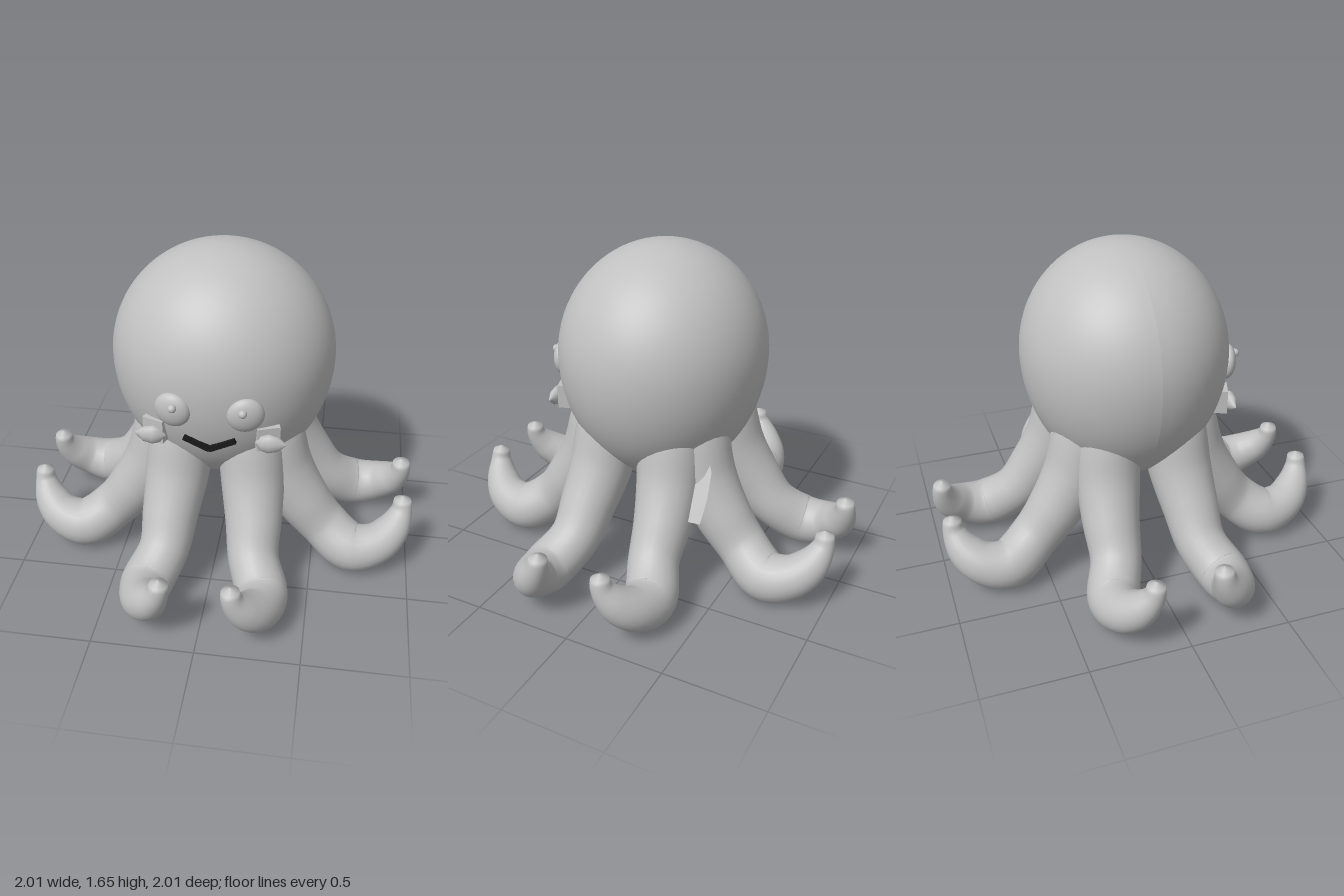
import * as THREE from 'three';
import { mergeVertices } from 'three/addons/utils/BufferGeometryUtils.js';

// Arm centreline: outward, upward, sideways, radius
const ARM = [
  [0.25, 0.86, 0.16, 0.15],
  [0.27, 0.72, 0.175, 0.165],
  [0.32, 0.55, 0.19, 0.16],
  [0.43, 0.37, 0.21, 0.142],
  [0.55, 0.225, 0.225, 0.126],
  [0.70, 0.128, 0.285, 0.128],
  [0.83, 0.155, 0.275, 0.108],
  [0.91, 0.22, 0.225, 0.088],
  [0.95, 0.31, 0.175, 0.055],
  [0.95, 0.37, 0.165, 0.042],
  [0.95, 0.388, 0.165, 0.001],
];

// Tube whose rings are scaled to follow the radius list
function armGeometry(side) {
  const path = new THREE.CatmullRomCurve3(ARM.map(([u, y, v]) => new THREE.Vector3(u, y, v * side)));
  const radii = new THREE.CatmullRomCurve3(ARM.map((p) => new THREE.Vector3(p[3], 0, 0)), false, 'catmullrom', 0.5);
  const rings = 64, sides = 24;
  const geo = new THREE.TubeGeometry(path, rings, 1, sides);
  const pos = geo.attributes.position;
  const p = new THREE.Vector3();
  for (let i = 0; i <= rings; i++) {
    const centre = path.getPointAt(i / rings);
    const r = Math.max(0.001, radii.getPoint(path.getUtoTmapping(i / rings)).x);
    for (let j = 0; j <= sides; j++) {
      const k = i * (sides + 1) + j;
      p.fromBufferAttribute(pos, k).sub(centre).multiplyScalar(r).add(centre);
      pos.setXYZ(k, p.x, p.y, p.z);
    }
  }
  geo.deleteAttribute('uv');
  geo.deleteAttribute('normal');
  const merged = mergeVertices(geo, 1e-5);
  merged.computeVertexNormals();
  return merged;
}

export function createModel() {
  const model = new THREE.Group();
  model.name = 'octopus';
  const skin = new THREE.MeshStandardMaterial({ color: 0xc0c0c0 });
  skin.name = 'grey skin';
  const dark = new THREE.MeshStandardMaterial({ color: 0x1a1a1a });
  dark.name = 'dark mouth';

  function add(name, geo, material, x = 0, y = 0, z = 0) {
    const mesh = new THREE.Mesh(geo, material);
    mesh.name = name;
    mesh.position.set(x, y, z);
    model.add(mesh);
    return mesh;
  }

  // Head: round above, slightly longer below
  const head = new THREE.SphereGeometry(1, 64, 48);
  const hp = head.attributes.position;
  for (let i = 0; i < hp.count; i++) {
    const y = hp.getY(i);
    hp.setXYZ(i, hp.getX(i) * 0.555, y * (y > 0 ? 0.56 : 0.65), hp.getZ(i) * 0.52);
  }
  head.computeVertexNormals();
  add('head', head, skin, 0, 1.09, 0);

  // Eight arms: a mirrored pair on each of four sides
  const arms = [armGeometry(1), armGeometry(-1)];
  for (let k = 0; k < 4; k++) {
    for (const geo of arms) add('arm', geo, skin).rotation.y = (k * Math.PI) / 2;
  }

  const ball = new THREE.SphereGeometry(1, 32, 24);
  for (const s of [-1, 1]) {
    // Flattened eyes with small raised pupils
    const eye = add('eye', ball, skin, s * 0.17, 1.018, 0.49);
    eye.scale.set(0.088, 0.09, 0.045);
    eye.rotation.set(0.08, s * 0.2, 0);
    add('pupil', ball, skin, s * 0.162, 1.053, 0.54).scale.setScalar(0.02);

    // Cheek fins: a square base and a pointed lobe
    const base = add('cheekBase', new THREE.BoxGeometry(0.11, 0.12, 0.07), skin, s * 0.265, 0.868, 0.42);
    base.rotation.y = s * 0.35;
    const lobe = new THREE.LatheGeometry(
      [[0, -0.075], [0.035, -0.045], [0.045, -0.01], [0.035, 0.035], [0, 0.08]].map(([r, y]) => new THREE.Vector2(r, y)), 12);
    const tip = add('cheekLobe', lobe, skin, s * 0.285, 0.853, 0.465);
    tip.rotation.z = -s * Math.PI / 2;
    tip.scale.set(1.1, 1, 0.75);

    // Half of the V-shaped mouth
    const lip = add('mouth', new THREE.BoxGeometry(0.137, 0.026, 0.02), dark, s * 0.06, 0.839, 0.486);
    lip.rotation.z = s * 0.44;
  }

  // Flat web between the rear arms on the left
  const webSide = new THREE.Shape([[0.3, 0.41], [0.41, 0.415], [0.42, 0.52], [0.415, 0.64], [0.4, 0.67], [0.34, 0.67], [0.31, 0.61]]
    .map(([a, b]) => new THREE.Vector2(a, b)));
  const web = new THREE.ShapeGeometry(webSide);
  const wp = web.attributes.position;
  for (let i = 0; i < wp.count; i++) {
    const a = wp.getX(i), b = wp.getY(i);
    wp.setXYZ(i, 0.3 + (0.67 - b) * 0.5, b, -a);
  }
  web.computeVertexNormals();
  add('armWeb', web, skin);

  return model;
}
